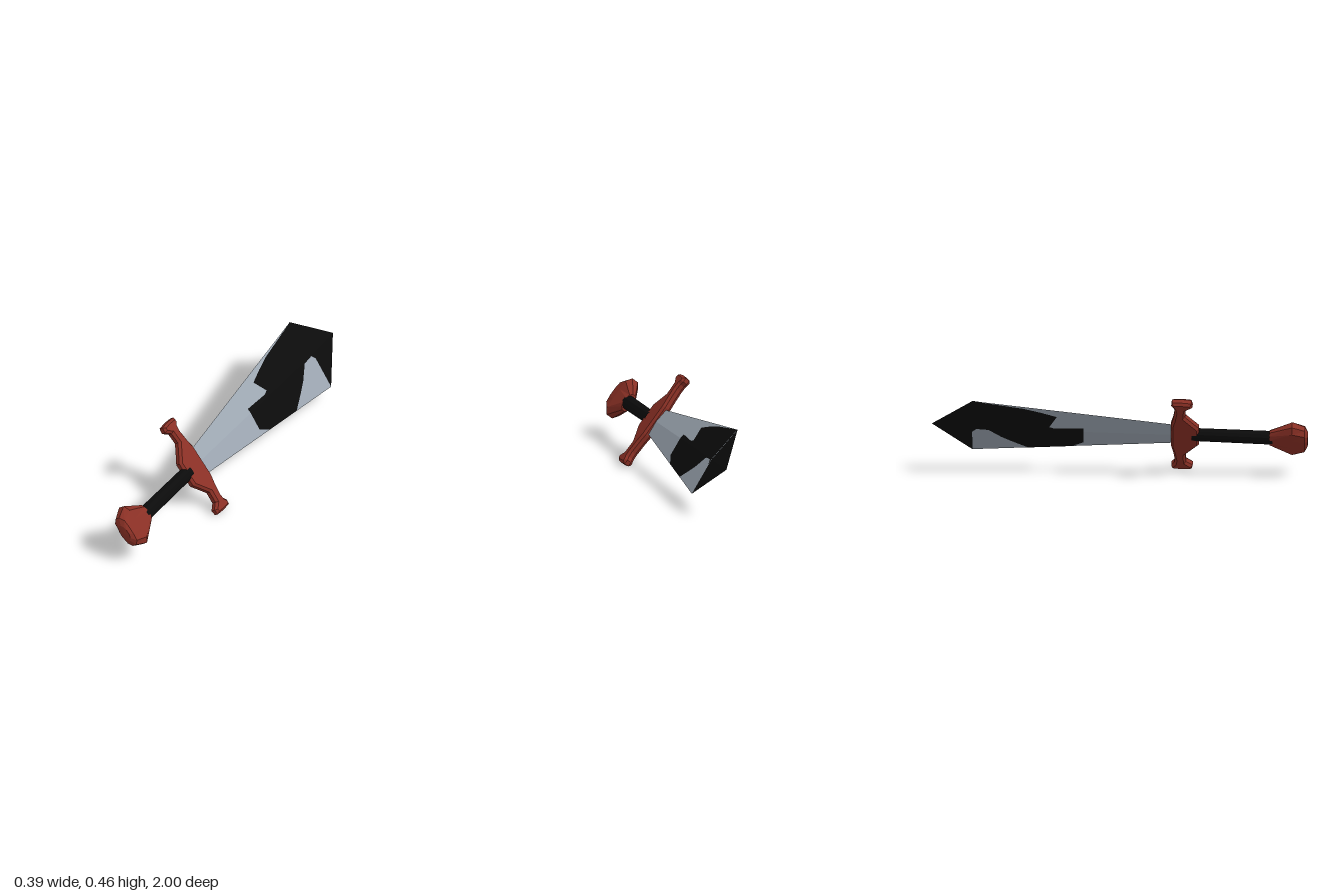
import * as THREE from 'three';

const flat = (name, color, side = THREE.FrontSide) =>
  Object.assign(new THREE.MeshStandardMaterial({ color, flatShading: true, side }), { name });

// Blade half-width along its length: flares to the shoulder, then runs to the tip
const BASE = -0.3, SHOULDER = 0.787, TIP = 1.0026;
const halfWidth = (t) => t <= SHOULDER
  ? 0.209 - 0.122 * (SHOULDER - t)
  : 0.209 * (TIP - t) / (TIP - SHOULDER);
// Diamond section: highest on the central ridge, zero at the edges
const height = (s, t) => 0.105 * Math.max(0, halfWidth(t) - Math.abs(s));

// Four mirrored facets between two stations of the blade
function bladeFacets(t0, t1) {
  const pos = [];
  for (const face of [1, -1]) for (const half of [1, -1]) {
    const p = [[0, t0], [half * halfWidth(t0), t0], [half * halfWidth(t1), t1], [0, t1]]
      .map(([s, t]) => [s, t, face * height(s, t)]);
    const order = face * half > 0 ? [0, 1, 2, 0, 2, 3] : [0, 2, 1, 0, 3, 2];
    order.forEach((i) => pos.push(...p[i]));
  }
  const g = new THREE.BufferGeometry();
  g.setAttribute('position', new THREE.Float32BufferAttribute(pos, 3));
  g.computeVertexNormals();
  return g;
}

// Thin patch laid on one blade facet; points are [along, across]
function patch(points, face) {
  const g = new THREE.ShapeGeometry(new THREE.Shape(points.map(([t, s]) => new THREE.Vector2(s, t))));
  const p = g.attributes.position;
  for (let i = 0; i < p.count; i++) p.setZ(i, face * (height(p.getX(i), p.getY(i)) + 0.0015));
  g.computeVertexNormals();
  return g;
}

// Twelve-sided turned form, flattened front to back; profile is [radius, along]
function flattened(profile, squash, limit) {
  const g = new THREE.LatheGeometry(profile.map(([r, t]) => new THREE.Vector2(r, t)), 12, Math.PI / 12);
  const p = g.attributes.position;
  for (let i = 0; i < p.count; i++) p.setZ(i, THREE.MathUtils.clamp(p.getZ(i) * squash, -limit, limit));
  g.computeVertexNormals();
  return g;
}

export function createModel() {
  const silver = flat('silver', 0x9ba5b0);
  const red = flat('darkRed', 0x8a3025);
  const black = flat('black', 0x0b0b0b, THREE.DoubleSide);

  const sword = new THREE.Group();
  sword.name = 'sword';
  const add = (name, geometry, material) => {
    const m = new THREE.Mesh(geometry, material);
    m.name = name;
    sword.add(m);
  };

  // Blade and its dark point
  add('blade', bladeFacets(BASE, SHOULDER), silver);
  add('bladeTip', bladeFacets(SHOULDER, TIP), black);

  // Dark camouflage patches, one outline each side of the ridge
  const upper = [[0.196, 0], [0.196, 0.027], [0.35, 0.02], [0.377, 0.03], [0.337, 0.109],
    [0.42, 0.137], [0.512, 0.163], [SHOULDER, 0.209], [SHOULDER, 0]];
  const lower = [[0.196, 0], [SHOULDER, 0], [SHOULDER, -0.032], [0.765, -0.003], [0.7, -0.008],
    [0.632, -0.074], [0.58, -0.112], [0.49, -0.172], [0.26, -0.144], [0.195, -0.102]];
  for (const face of [1, -1]) for (const outline of [upper, lower]) {
    add('bladePatch', patch(outline, face), black);
  }

  // Cross guard: mirrored outline with bevelled edges
  const half = [[0.09, -0.271], [0.14, -0.282], [0.205, -0.291], [0.235, -0.287], [0.255, -0.272],
    [0.28, -0.276], [0.284, -0.33], [0.28, -0.38], [0.25, -0.386], [0.222, -0.35],
    [0.16, -0.346], [0.115, -0.382], [0.07, -0.419]];
  const outline = [...half, ...half.map(([s, t]) => [-s, t]).reverse()];
  const guard = new THREE.ExtrudeGeometry(
    new THREE.Shape(outline.map(([s, t]) => new THREE.Vector2(s, t))),
    { depth: 0.024, bevelThickness: 0.014, bevelSize: 0.012, bevelOffset: -0.012, bevelSegments: 1 });
  guard.translate(0, 0, -0.012);
  add('guard', guard, red);

  // Grip and flared pommel
  add('grip', flattened([[0.04, -0.82], [0.038, -0.38]], 0.85, 0.032), black);
  add('pommel', flattened([[0, -1], [0.05, -0.998], [0.09, -0.982], [0.122, -0.915],
    [0.052, -0.795], [0, -0.79]], 0.6, 0.043), red);

  // Tilt the sword: across, along and normal axes
  const along = new THREE.Vector3(-0.0649, 0.0324, -0.9974).normalize();
  const across = new THREE.Vector3(-0.612, 0.788, 0.065);
  across.addScaledVector(along, -across.dot(along)).normalize();
  const normal = new THREE.Vector3().crossVectors(across, along);
  const basis = new THREE.Matrix4().makeBasis(across, along, normal);
  sword.quaternion.setFromRotationMatrix(basis);
  sword.position.set(-0.015, 0.2425, 0);

  const model = new THREE.Group();
  model.name = 'model';
  model.add(sword);
  return model;
}
